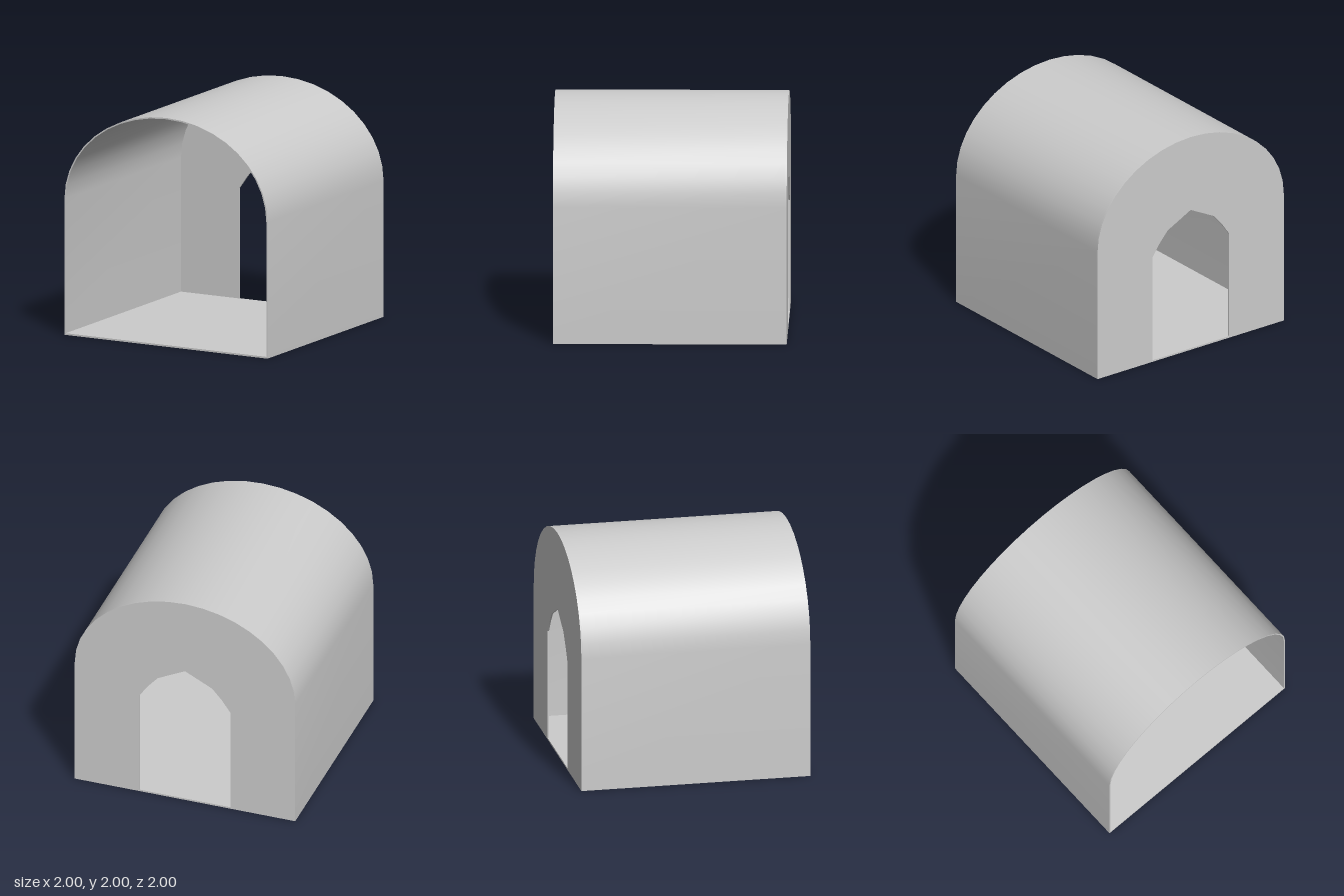
import * as THREE from 'three';
import { toCreasedNormals } from 'three/addons/utils/BufferGeometryUtils.js';

const SPRING = 1.19; // height where the vault starts
const SKIN = 0.012; // thickness of walls and roof
const FLOOR = 0.015;
const SEGMENTS = 20;

// Arched outline: flat base, straight sides, elliptical top, inset by the given amounts
function archPoints(inset, base) {
  const points = [new THREE.Vector2(-1 + inset, base), new THREE.Vector2(1 - inset, base)];
  for (let i = 0; i <= SEGMENTS; i++) {
    const a = (i / SEGMENTS) * Math.PI;
    points.push(new THREE.Vector2(
      (1 - inset) * Math.cos(a),
      SPRING + (2 - SPRING - inset) * Math.sin(a)
    ));
  }
  return points;
}

function extrudePart(name, outline, hole, z, depth, material) {
  const shape = new THREE.Shape(outline);
  shape.holes.push(new THREE.Path(hole));
  const geometry = new THREE.ExtrudeGeometry(shape, { depth, bevelEnabled: false });
  geometry.translate(0, 0, z);
  const mesh = new THREE.Mesh(toCreasedNormals(geometry, 0.5), material);
  mesh.name = name;
  return mesh;
}

export function createModel() {
  const group = new THREE.Group();
  group.name = 'archedTunnel';
  const material = new THREE.MeshStandardMaterial({ color: 0xcccccc });

  // Thin vault, side walls and floor, open at the front
  group.add(extrudePart('vaultAndFloor', archPoints(0, 0), archPoints(SKIN, FLOOR),
    -1 + SKIN, 2 - SKIN, material));

  // Back wall with a pointed, faceted doorway
  const half = [[0.412, FLOOR], [0.412, 0.98], [0.335, 1.09], [0.247, 1.19]];
  const door = [
    ...half.map(([x, y]) => new THREE.Vector2(x, y)),
    new THREE.Vector2(0, 1.315),
    ...half.map(([x, y]) => new THREE.Vector2(-x, y)).reverse(),
  ];
  group.add(extrudePart('backWall', archPoints(0, 0), door, -1, SKIN, material));

  return group;
}
